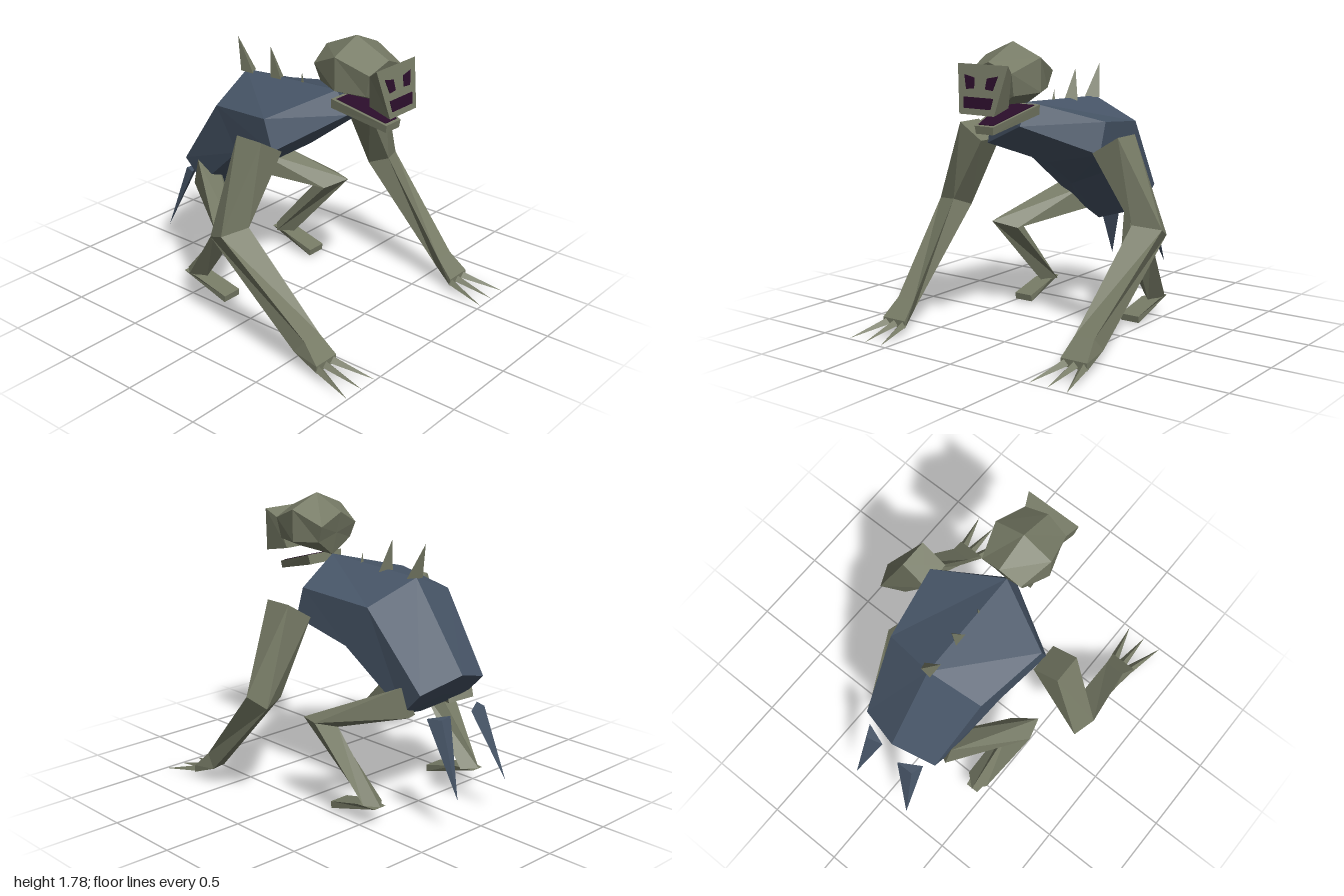
import * as THREE from 'three';

const skin = new THREE.MeshStandardMaterial({ color: 0x767a65, flatShading: true });
skin.name = 'grey green skin';
const cloth = new THREE.MeshStandardMaterial({ color: 0x475567, flatShading: true });
cloth.name = 'slate blue cloth';
const hollow = new THREE.MeshStandardMaterial({ color: 0x2a0d2a, flatShading: true });
hollow.name = 'dark purple hollow';

const flip = ([x, y, z]) => [-x, y, z];
const centre = (ring) => [0, 1, 2].map((k) => ring.reduce((s, p) => s + p[k], 0) / ring.length);

// Faceted solid through matching rings of points; the ends close to a point.
function loft(rings, startTip = centre(rings[0]), endTip = centre(rings[rings.length - 1])) {
  const tris = [];
  const n = rings[0].length;
  const last = rings[rings.length - 1];
  for (let j = 0; j < n; j++) {
    const k = (j + 1) % n;
    for (let i = 0; i + 1 < rings.length; i++) {
      const a = rings[i], b = rings[i + 1];
      tris.push([a[j], a[k], b[k]], [a[j], b[k], b[j]]);
    }
    tris.push([startTip, rings[0][k], rings[0][j]], [endTip, last[j], last[k]]);
  }
  // Turn the faces outward, whichever way the rings run.
  const v = tris.map((t) => t.map((p) => new THREE.Vector3(...p)));
  const mid = new THREE.Vector3(...centre(rings.flat()));
  let volume = 0;
  for (const [a, b, c] of v) {
    volume += a.clone().sub(mid).dot(b.clone().sub(mid).cross(c.clone().sub(mid)));
  }
  if (volume < 0) v.forEach((t) => t.reverse());
  const g = new THREE.BufferGeometry().setFromPoints(v.flat());
  g.computeVertexNormals();
  return g;
}

// Mirrored six-point ring: top, upper side, lower side, bottom.
const six = (t, u, l, b) => [t, u, l, b, flip(l), flip(u)];
// Mirrored four-point ring: upper corner and lower corner.
const four = (u, l) => [u, l, flip(l), flip(u)];

export function createModel() {
  const model = new THREE.Group();
  model.name = 'crouchingCreature';
  const add = (name, geometry, material, parent = model) => {
    const m = new THREE.Mesh(geometry, material);
    m.name = name;
    parent.add(m);
    return m;
  };

  // Torso with a pointed chest
  add('torso', loft([
    six([0, 1.42, 0.26], [0.42, 1.31, 0.06], [0.42, 1.12, 0.12], [0, 1.03, 0.06]),
    six([0, 1.39, -0.46], [0.34, 1.26, -0.40], [0.35, 1.0, -0.23], [0, 0.86, -0.20]),
    six([0, 0.88, -0.83], [0.27, 0.80, -0.755], [0.265, 0.66, -0.62], [0, 0.585, -0.51]),
  ], [0, 1.28, 0.34]), cloth);

  // Skull
  add('skull', loft([
    six([0, 1.68, 0.63], [0.15, 1.62, 0.61], [0.14, 1.49, 0.58], [0, 1.425, 0.56]),
    six([0, 1.785, 0.40], [0.2, 1.70, 0.40], [0.2, 1.50, 0.40], [0, 1.42, 0.40]),
    six([0, 1.69, 0.18], [0.14, 1.61, 0.20], [0.13, 1.51, 0.24], [0, 1.415, 0.26]),
  ]), skin);

  // Face plate, jaw and the dark openings
  add('face', loft([
    four([0.18, 1.67, 0.68], [0.125, 1.39, 0.74]),
    four([0.15, 1.62, 0.61], [0.1, 1.42, 0.575]),
  ]), skin);
  const onFace = (pts) => loft([0.004, -0.004].map((d) =>
    pts.map(([x, y]) => [x, y, 0.68 + ((1.67 - y) / 0.28) * 0.06 + d])));
  const eye = [[0.12, 1.61], [0.045, 1.595], [0.04, 1.535], [0.095, 1.53]];
  add('leftEye', onFace(eye), hollow);
  add('rightEye', onFace(eye.map(([x, y]) => [-x, y])), hollow);
  add('upperMouth', onFace([[0.105, 1.487], [0.095, 1.425], [-0.095, 1.425], [-0.105, 1.487]]), hollow);
  add('jaw', loft([
    four([0.14, 1.42, 0.33], [0.13, 1.36, 0.32]),
    four([0.068, 1.318, 0.675], [0.062, 1.272, 0.67]),
  ]), skin);
  add('lowerMouth', loft([
    four([0.115, 1.418, 0.35], [0.115, 1.411, 0.35]),
    four([0.053, 1.327, 0.658], [0.053, 1.320, 0.658]),
  ]), hollow);

  // Three-sided spikes along the spine: base z, size, tip
  [
    [0.0, 0.25, [0, 1.47, -0.01]],
    [-0.195, 0.9, [-0.01, 1.58, -0.25]],
    [-0.43, 1, [-0.01, 1.595, -0.52]],
  ].forEach(([z, s, tip], i) => add('backSpike' + (i + 1), loft([[
    [-0.03 * s, 1.385, z + 0.05 * s],
    [0.05 * s, 1.385, z],
    [-0.03 * s, 1.385, z - 0.05 * s],
  ]], undefined, tip), skin));

  // Torn cloth points hanging behind
  [
    ['leftRag', [[0.095, 0.66, -0.83], [0.24, 0.665, -0.78], [0.2, 0.665, -0.86]], [0.21, 0.225, -1]],
    ['rightRag', [[-0.05, 0.66, -0.86], [-0.19, 0.665, -0.78], [-0.165, 0.665, -0.86]], [-0.21, 0.225, -1]],
  ].forEach(([name, base, tip]) => add(name, loft([base], undefined, tip), cloth));

  for (const side of ['left', 'right']) {
    const place = (rings) => (side === 'left' ? rings : rings.map((r) => r.map(flip)));

    // Arm: shoulder, elbow, wrist, knuckles
    const arm = new THREE.Group();
    arm.name = side + 'ArmGroup';
    model.add(arm);
    add(side + 'Arm', loft(place([
      [[0.585, 1.245, 0], [0.585, 1.245, 0.185], [0.415, 1.14, 0.19], [0.415, 1.14, 0]],
      [[0.79, 0.665, -0.035], [0.835, 0.72, 0.095], [0.67, 0.74, 0.16], [0.63, 0.69, 0.03]],
      [[0.745, 0.11, 0.56], [0.73, 0.19, 0.63], [0.6, 0.19, 0.63], [0.645, 0.11, 0.58]],
      [[0.757, 0.04, 0.74], [0.757, 0.085, 0.74], [0.58, 0.085, 0.74], [0.58, 0.04, 0.74]],
    ])), skin, arm);

    // Claws
    [[0.605, 0.545], [0.668, 0.67], [0.73, 0.8]].forEach(([x, tipX], i) => {
      const [base, [tip]] = place([
        [[x - 0.03, 0.05, 0.735], [x, 0.085, 0.72], [x + 0.03, 0.05, 0.735]],
        [[tipX, 0.003, 0.995]],
      ]);
      add(side + 'Claw' + (i + 1), loft([base], undefined, tip), skin, arm);
    });

    // Leg: hip, knee, ankle
    const leg = new THREE.Group();
    leg.name = side + 'LegGroup';
    model.add(leg);
    add(side + 'Leg', loft(place([
      [[0.29, 0.825, -0.625], [0.17, 0.76, -0.56], [0.146, 0.62, -0.6], [0.28, 0.65, -0.675]],
      [[0.58, 0.575, -0.21], [0.54, 0.57, -0.07], [0.40, 0.525, -0.16], [0.44, 0.53, -0.26]],
      [[0.495, 0.13, -0.53], [0.42, 0.105, -0.45], [0.345, 0.12, -0.53], [0.43, 0.125, -0.605]],
    ])), skin, leg);
    add(side + 'Foot', loft(place([
      [[0.485, 0.12, -0.47], [0.36, 0.12, -0.47], [0.385, 0.12, -0.6], [0.47, 0.12, -0.6]],
      [[0.48, 0.062, -0.235], [0.35, 0.062, -0.235], [0.35, 0.02, -0.24], [0.48, 0.02, -0.24]],
    ])), skin, leg);
  }
  return model;
}
